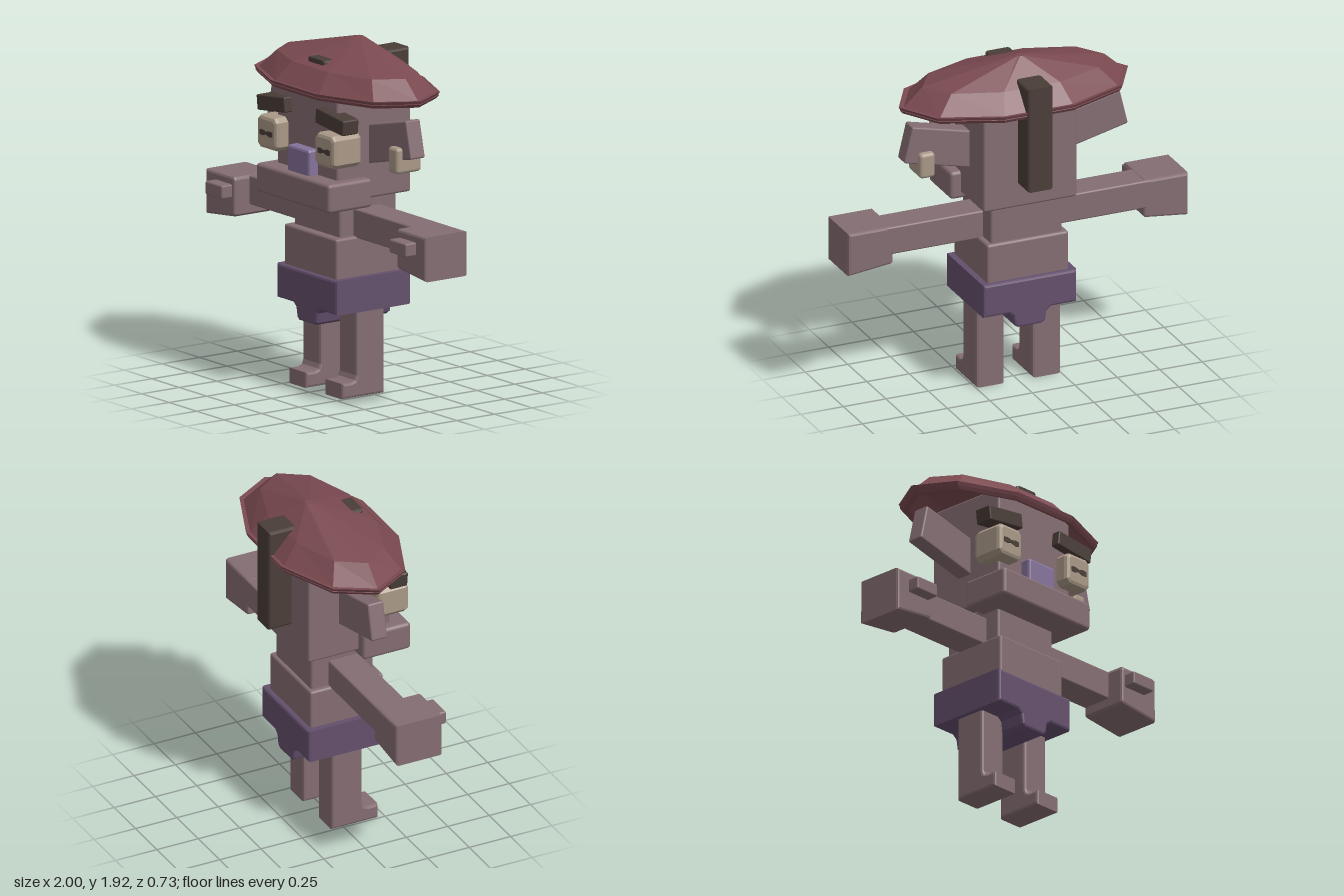
import * as THREE from 'three';
import { RoundedBoxGeometry } from 'three/addons/geometries/RoundedBoxGeometry.js';

const mat = (name, color) => {
  const m = new THREE.MeshStandardMaterial({ color });
  m.name = name;
  return m;
};

// Closed shell lofted through ten-sided elliptical rings [rx, rz, centreZ, y]
function ringShell(rings, sides) {
  const pos = [], idx = [];
  rings.forEach(([rx, rz, cz, y]) => {
    for (let i = 0; i < sides; i++) {
      const a = (i / sides) * Math.PI * 2;
      pos.push(Math.cos(a) * rx, y, cz + Math.sin(a) * rz);
    }
  });
  for (let r = 0; r < rings.length - 1; r++) {
    for (let i = 0; i < sides; i++) {
      const j = (i + 1) % sides, a = r * sides, b = a + sides;
      if (rings[r][0] > 0) idx.push(a + i, a + j, b + i);
      if (rings[r + 1][0] > 0) idx.push(a + j, b + j, b + i);
    }
  }
  const indexed = new THREE.BufferGeometry();
  indexed.setAttribute('position', new THREE.Float32BufferAttribute(pos, 3));
  indexed.setIndex(idx);
  const geo = indexed.toNonIndexed();
  geo.computeVertexNormals();
  return geo;
}

// Bevelled prism of a 2D outline between two depths
function prism(points, z0, z1, bevel = 0.014) {
  const shape = new THREE.Shape(points.map(([x, y]) => new THREE.Vector2(x, y)));
  const geo = new THREE.ExtrudeGeometry(shape, {
    depth: z1 - z0 - 2 * bevel, bevelEnabled: bevel > 0, bevelSize: bevel,
    bevelThickness: bevel, bevelOffset: -bevel, bevelSegments: 2,
  });
  return geo.translate(0, 0, z0 + bevel);
}

export function createModel() {
  const model = new THREE.Group();
  model.name = 'figure';
  const skin = mat('skin', 0x846d72);
  const hatRed = mat('hatRed', 0x7a4a50);
  const cloth = mat('purpleCloth', 0x634f6c);
  const hairBrown = mat('hairBrown', 0x4a3d37);
  const bone = mat('bone', 0xa99886);
  const noseMauve = mat('noseMauve', 0x85729a);

  const add = (name, geo, material) => {
    const mesh = new THREE.Mesh(geo, material);
    mesh.name = name;
    model.add(mesh);
    return mesh;
  };
  // Rounded box given by its limits
  const box = (name, [x0, x1], [y0, y1], [z0, z1], material, r = 0.014) => {
    const mesh = add(name, new RoundedBoxGeometry(x1 - x0, y1 - y0, z1 - z0, 2, r), material);
    mesh.position.set((x0 + x1) / 2, (y0 + y1) / 2, (z0 + z1) / 2);
    return mesh;
  };

  // Torso and head
  box('belly', [-0.24, 0.24], [0.64, 0.885], [-0.195, 0.245], skin);
  box('chest', [-0.21, 0.21], [0.87, 1.1], [-0.175, 0.2], skin);
  box('head', [-0.275, 0.275], [1.095, 1.74], [-0.225, 0.265], skin);
  box('jaw', [-0.335, 0.335], [1.06, 1.22], [0.075, 0.365], skin, 0.02);
  add('nose', prism([[-0.1, 1.18], [0.1, 1.18], [0.1, 1.35], [0.09, 1.36], [-0.09, 1.36], [-0.1, 1.35]],
    0.24, 0.325), noseMauve);

  // Shorts with a lowered middle
  add('shorts', prism([
    [-0.275, 0.475], [-0.125, 0.475], [-0.1, 0.455], [-0.09, 0.4], [-0.07, 0.385],
    [0.07, 0.385], [0.09, 0.4], [0.1, 0.455], [0.125, 0.475], [0.275, 0.475],
    [0.275, 0.665], [-0.275, 0.665]], -0.225, 0.27), cloth);

  // Hair strip over the crown and down the back
  add('hair', prism([[0.21, 1.76], [0.21, 1.835], [-0.36, 1.835], [-0.36, 1.23], [-0.215, 1.23], [-0.215, 1.76]],
    -0.075, 0.075).rotateY(-Math.PI / 2), hairBrown);

  // Wide faceted hat, hollow below
  add('hat', ringShell([
    [0, 0, -0.085, 1.92], [0.025, 0.02, -0.085, 1.92], [0.535, 0.257, 0, 1.795],
    [0.645, 0.35, 0, 1.695], [0.675, 0.373, 0, 1.698], [0.663, 0.365, 0, 1.68],
    [0.668, 0.368, 0, 1.678], [0.652, 0.357, 0, 1.66], [0.615, 0.33, 0, 1.668],
    [0.515, 0.243, 0, 1.775], [0, 0, -0.085, 1.9]], 10), hatRed);

  for (const s of [1, -1]) {
    const side = s > 0 ? 'left' : 'right';
    const span = (a, b) => (s > 0 ? [a, b] : [-b, -a]);

    // Leg with a short forward foot
    const leg = prism([[-0.07, 0], [0.21, 0], [0.21, 0.085], [0.15, 0.085], [0.125, 0.095], [0.115, 0.12],
      [0.115, 0.5], [-0.07, 0.5]], -0.083, 0.083);
    add(side + 'Leg', leg.rotateY(-Math.PI / 2), skin).position.x = s * 0.165;

    // Arm, hand and thumb
    box(side + 'Arm', span(0.18, 0.78), [0.875, 1.035], [-0.07, 0.11], skin, 0.01);
    add(side + 'Hand', prism([[0.737, 0.83], [0.75, 0.818], [1, 0.79], [1, 1.037], [0.745, 1.037], [0.737, 1.02]]
      .map(([x, y]) => [x * s, y]), -0.07, 0.21), skin);
    box(side + 'Thumb', span(0.76, 0.915), [0.92, 0.995], [0.18, 0.277], skin, 0.01);

    // Ear, tilted upwards
    const ear = add(side + 'Ear', new RoundedBoxGeometry(0.43, 0.21, 0.096, 2, 0.01), skin);
    ear.position.set(s * 0.425, 1.433, 0.007);
    ear.rotation.z = s * 0.235;

    // Eye block with cut corners and a bow-shaped pupil
    const w = 0.09, h = 0.092, c = 0.025;
    const eye = add(side + 'Eye', prism([[-w + c, -h], [w - c, -h], [w, -h + c], [w, h - c],
      [w - c, h], [-w + c, h], [-w, h - c], [-w, -h + c]], 0.155, 0.345, 0.022), bone);
    eye.position.set(s * 0.262, 1.393, 0);
    const pupil = add(side + 'Pupil', prism([[-0.055, -0.015], [-0.03, -0.018], [0, -0.008], [0.03, -0.018],
      [0.055, -0.015], [0.055, 0.012], [0.03, 0.015], [0, 0.007], [-0.03, 0.015], [-0.055, 0.012]],
      0.342, 0.349, 0), hairBrown);
    pupil.position.copy(eye.position);

    // Slanted brow
    const brow = add(side + 'Brow', new RoundedBoxGeometry(0.255, 0.085, 0.105, 2, 0.008), hairBrown);
    brow.position.set(s * 0.267, 1.55, 0.262);
    brow.rotation.z = -s * 0.12;
  }

  // Single earring around the lower edge of the left ear
  box('earring', [0.49, 0.58], [1.285, 1.43], [-0.075, 0.09], bone, 0.02);

  return model;
}
